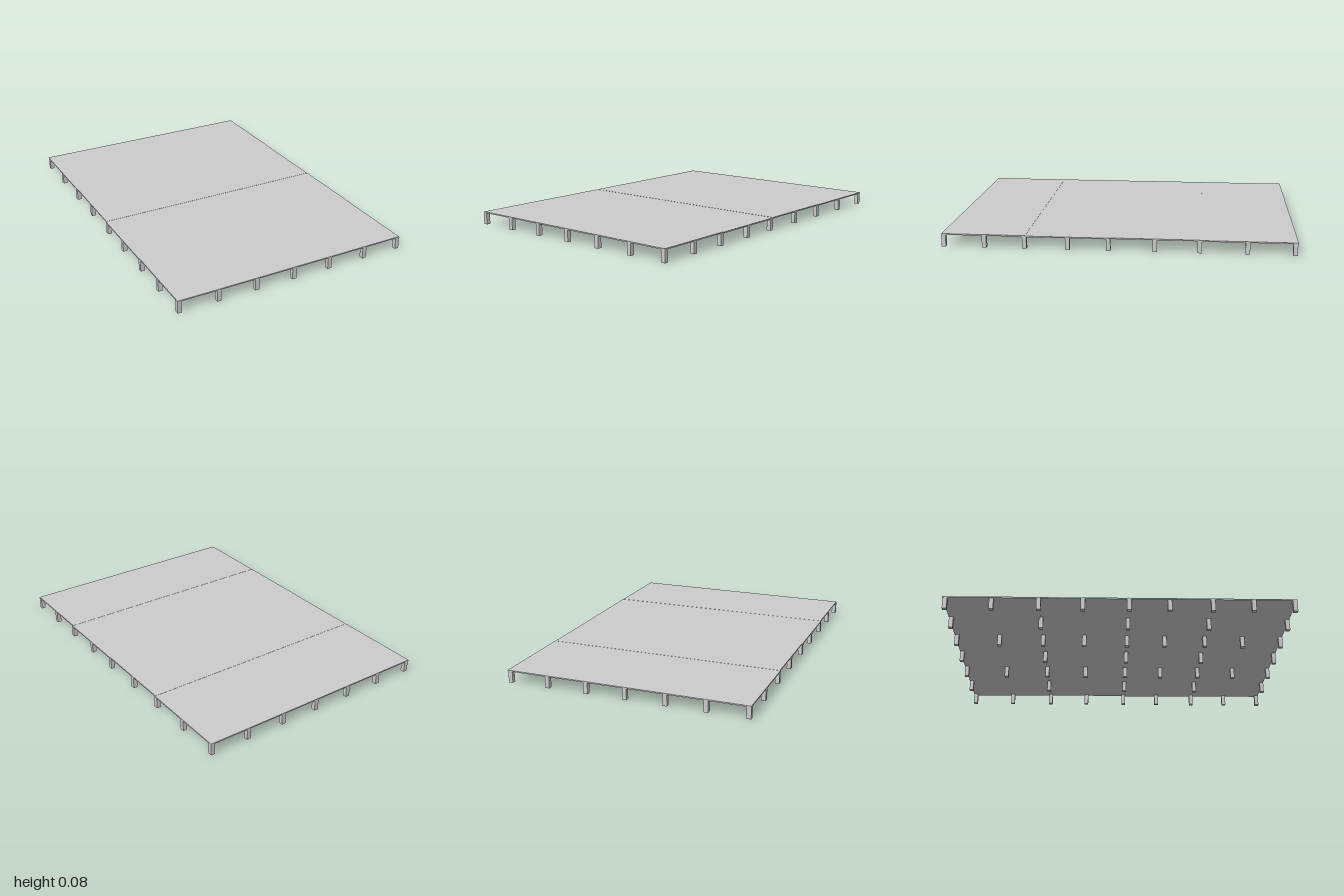
import * as THREE from 'three';

const material = new THREE.MeshStandardMaterial({ color: 0xcccccc, flatShading: true });

function box(name, x0, x1, y0, y1, z0, z1) {
  const mesh = new THREE.Mesh(new THREE.BoxGeometry(x1 - x0, y1 - y0, z1 - z0), material);
  mesh.position.set((x0 + x1) / 2, (y0 + y1) / 2, (z0 + z1) / 2);
  mesh.name = name;
  return mesh;
}

export function createModel() {
  const model = new THREE.Group();
  model.name = 'pileDeck';

  // Deck: four slabs laid end to end, with slight steps at the seams
  const slabs = [
    [-1, -0.46, -0.717, 0.715, 0.0745],
    [-0.46, 0.04, -0.714, 0.712, 0.0755],
    [0.04, 0.52, -0.717, 0.715, 0.0745],
    [0.52, 1, -0.714, 0.711, 0.0755],
  ];
  const deck = new THREE.Group();
  deck.name = 'deck';
  for (const [z0, z1, x0, x1, top] of slabs) {
    deck.add(box('deckSlab', x0, x1, top - 0.007, top, z0, z1));
  }
  model.add(deck);

  // Posts: full rows at the seams and ends, thinned out in between
  const xs = [-0.703, -0.47, -0.238, -0.003, 0.23, 0.467, 0.7];
  const zs = [-0.985, -0.725, -0.46, -0.21, 0.05, 0.28, 0.525, 0.755, 0.988];
  const posts = new THREE.Group();
  posts.name = 'posts';
  const w = 0.0125;
  zs.forEach((z, row) => {
    xs.forEach((x, col) => {
      const full = row % 2 === 0;
      if (!full && col % 2 === 1) return;
      posts.add(box('post', x - w, x + w, 0, 0.073, z - w, z + w));
    });
  });
  model.add(posts);
  return model;
}
